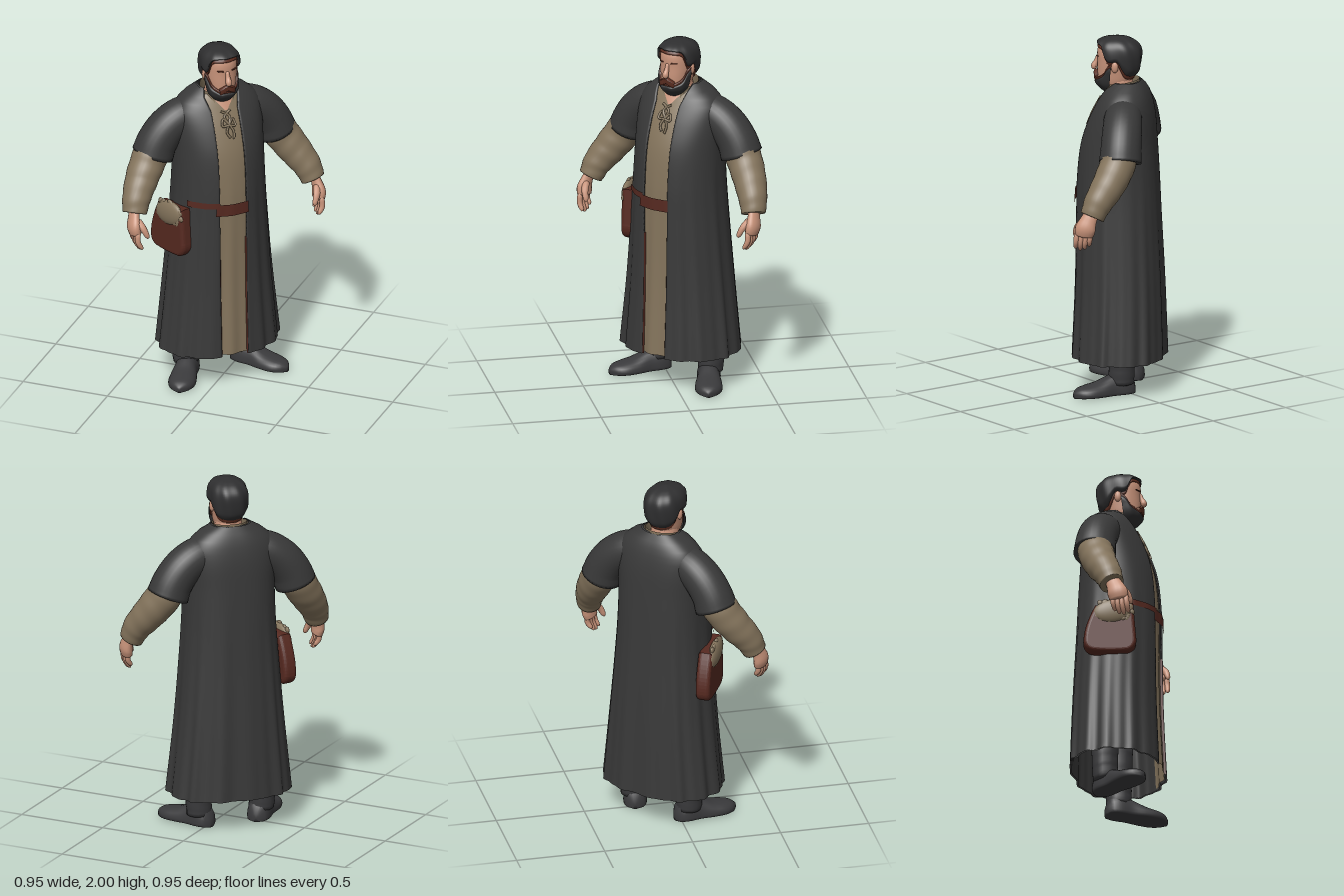
import * as THREE from 'three';

const mat = (name, color, side = THREE.DoubleSide) => Object.assign(new THREE.MeshStandardMaterial({ color, side }), { name });
const V = (x, y, z) => new THREE.Vector3(x, y, z);
const TAU = Math.PI * 2;

// Smooth (Hermite) lookup in rows of [key, v1, v2, ...]
function sample(rows, k) {
  const n = rows.length - 1;
  let i = 0;
  while (i < n - 1 && k > rows[i + 1][0]) i++;
  const a = rows[i], b = rows[i + 1], p = rows[Math.max(0, i - 1)], q = rows[Math.min(n, i + 2)];
  const h = b[0] - a[0], t = Math.min(1, Math.max(0, (k - a[0]) / h));
  return a.slice(1).map((_, c) => {
    c++;
    const m0 = (b[c] - p[c]) / (b[0] - p[0]) * h, m1 = (q[c] - a[c]) / (q[0] - a[0]) * h;
    const t2 = t * t, t3 = t2 * t;
    return (2 * t3 - 3 * t2 + 1) * a[c] + (t3 - 2 * t2 + t) * m0 + (3 * t2 - 2 * t3) * b[c] + (t3 - t2) * m1;
  });
}

// Skin a list of equal-length rings
function loft(rings, closed = true, capped = false) {
  const n = rings[0].length, pos = [], idx = [];
  rings.forEach(r => r.forEach(p => pos.push(p.x, p.y, p.z)));
  for (let i = 0; i < rings.length - 1; i++)
    for (let j = 0; j < (closed ? n : n - 1); j++) {
      const a = i * n + j, b = i * n + (j + 1) % n;
      idx.push(a, b, b + n, a, b + n, a + n);
    }
  if (capped) [0, rings.length - 1].forEach(i => {
    const c = rings[i].reduce((s, p) => s.add(p), V(0, 0, 0)).divideScalar(n), k = pos.length / 3;
    pos.push(c.x, c.y, c.z);
    for (let j = 0; j < n; j++) {
      const a = i * n + j, b = i * n + (j + 1) % n;
      i ? idx.push(a, b, k) : idx.push(b, a, k);
    }
  });
  const g = new THREE.BufferGeometry();
  g.setAttribute('position', new THREE.Float32BufferAttribute(pos, 3));
  g.setIndex(idx);
  g.computeVertexNormals();
  return g;
}

// Tapered tube through [x, y, z, radius]; flat squeezes it sideways, wrinkle adds cloth rings
function limb(pts, { seg = 16, sides = 16, flat = 1, wrinkle = 0, round = true } = {}) {
  const curve = new THREE.CatmullRomCurve3(pts.map(p => V(p[0], p[1], p[2])));
  const radii = pts.map((p, i) => [i / (pts.length - 1), p[3]]);
  const rings = [];
  for (let i = 0; i <= seg; i++) {
    const t = i / seg, c = curve.getPoint(t), d = curve.getTangent(t);
    const q = V(0, 0, 1).addScaledVector(d, -d.z).normalize(), p = q.clone().cross(d);
    const end = round && (i === 0 || i === seg) ? 0.55 : 1;
    rings.push(Array.from({ length: sides }, (_, j) => {
      const a = j / sides * TAU;
      const r = sample(radii, t)[0] * end * (1 + wrinkle * Math.sin(t * 34 + 1.5 * Math.cos(a)));
      return c.clone().addScaledVector(p, r * flat * Math.cos(a)).addScaledVector(q, r * Math.sin(a));
    }));
  }
  return loft(rings, true, true);
}

// Torso profile: [y, half width, back z, front z]
const TORSO = [[0.19, 0.345, -0.338, 0.185], [0.6, 0.304, -0.325, 0.168], [1, 0.272, -0.306, 0.162], [1.2, 0.26, -0.297, 0.158],
  [1.4, 0.255, -0.285, 0.135], [1.55, 0.258, -0.272, 0.085], [1.65, 0.242, -0.25, 0.035], [1.71, 0.182, -0.225, 0.003], [1.75, 0.112, -0.195, -0.02]];
const spow = (v, e) => Math.sign(v) * Math.abs(v) ** e;
function torso(th, y, inset = 0) {
  const [a, back, front] = sample(TORSO, y);
  const amp = 0.024 * Math.max(0, 1 - y / 1.35);
  const f = 1 + amp * (Math.cos(13 * th + 1) + 0.7 * Math.cos(21 * th + 2));
  const c = (back + front) / 2, b = (front - back) / 2, e = Math.cos(th) > 0 ? 1 : 0.8;
  return V((a - inset) * f * spow(Math.sin(th), e), y, c + (b - inset) * f * spow(Math.cos(th), e));
}
// Robe opening, widening into the neckline
const edgeAngle = (x, y) => Math.asin(Math.min(0.88, (x + 0.3 * Math.max(0, y - 1.64)) / sample(TORSO, y)[0]));
const leftEdge = y => edgeAngle(0.07, y), rightEdge = y => -edgeAngle(0.09, y);
const torsoBand = (t0, t1, y0, y1, inset, n = 24, rows = 4) => loft(Array.from({ length: rows + 1 }, (_, i) =>
  Array.from({ length: n + 1 }, (_, j) => torso(t0 + (t1 - t0) * j / n, y0 + (y1 - y0) * i / rows, inset))), false);

// Head profile: [y, half width, back z, front z]
const HEAD = [[1.69, 0.045, -0.1, 0.008], [1.735, 0.072, -0.14, 0.038], [1.8, 0.083, -0.165, 0.045], [1.86, 0.089, -0.176, 0.044],
  [1.92, 0.088, -0.176, 0.044], [1.955, 0.076, -0.156, 0.03], [1.977, 0.048, -0.12, -0.005], [1.988, 0, -0.065, -0.065]];
function headPatch(t0, t1, bottom, top, off, taperTop = true, n = 48, m = 22) {
  return loft(Array.from({ length: m + 1 }, (_, i) => Array.from({ length: n + 1 }, (_, j) => {
    const u = i / m, th = t0 + (t1 - t0) * j / n, y = THREE.MathUtils.lerp(bottom(th), top(th), u);
    const [a, back, front] = sample(HEAD, y), c = (back + front) / 2, b = (front - back) / 2;
    const o = off * Math.sqrt(Math.min(1, 6 * (taperTop ? Math.min(u, 1 - u) : u))) * (1 + 0.12 * Math.cos(9 * th + y * 20));
    const k = 1 + o / 0.09, lift = off * Math.max(0, (y - 1.85) / 0.14) ** 2 * 0.7;
    return V(a * k * spow(Math.sin(th), 0.9), y + lift, c + b * k * spow(Math.cos(th), 0.9));
  })), false);
}

export function createModel() {
  const robeM = mat('charcoal cloth', 0x393939), tunicM = mat('tan cloth', 0x84745c), skinM = mat('skin', 0xc8937a),
    hairM = mat('dark hair', 0x2f2f30), brownHairM = mat('brown hair', 0x5a2d20), leatherM = mat('red leather', 0x562920),
    bootM = mat('boot leather', 0x3a3a3c);
  const model = new THREE.Group(), body = new THREE.Group();
  body.name = 'body';
  body.rotation.y = Math.PI / 4;
  model.add(body);
  const add = (name, geo, m, parent = body) => {
    const mesh = new THREE.Mesh(geo, m);
    mesh.name = name;
    parent.add(mesh);
    return mesh;
  };

  // Open robe: outer layer round the back, returning along the lining
  const N = 130, robeRings = [], tunicRings = [], facing = [[], []];
  for (let i = 0; i <= 44; i++) {
    const y = 0.19 + 1.56 * i / 44, t0 = leftEdge(y), t1 = TAU + rightEdge(y);
    const line = inset => Array.from({ length: N + 1 }, (_, j) => torso(t0 + (t1 - t0) * j / N, y, inset));
    robeRings.push([...line(0), ...line(0.01).reverse()]);
    const w = 0.9 + 2 * Math.max(0, y - 1.45);
    if (y < 1.72) tunicRings.push(Array.from({ length: 41 }, (_, j) => torso((j / 20 - 1) * w, y + 0.01, 0.016)));
    if (y < 0.9) [t0 - 0.006, t1 + 0.006].forEach((t, k) => facing[k].push([0.002, 0.016].map(inset => torso(t, y, inset))));
  }
  add('robe', loft(robeRings), robeM);
  add('tunic', loft(tunicRings, false), tunicM);
  facing.forEach(f => add('robeFacing', loft(f, false), leatherM));

  // Neck opening, collar and lacing
  add('neck', limb([[0, 1.6, -0.09, 0.08], [0, 1.7, -0.082, 0.08], [0, 1.76, -0.075, 0.074], [0, 1.82, -0.065, 0.062]]), skinM);
  add('openNeckline', loft([[1.64, 0.03], [1.68, 0.2], [1.725, 0.55]].map(([y, w]) =>
    Array.from({ length: 9 }, (_, j) => torso(-w + j * w / 4, y, 0.012))), false), skinM);
  add('collar', loft([[1.67, 0.11], [1.715, 0.1], [1.748, 0.1]].map(([y, r]) => Array.from({ length: 37 }, (_, j) => {
    const t = 0.55 + (TAU - 1.1) * j / 36;
    return V(r * Math.sin(t), y - 0.014 * Math.cos(t), -0.09 + r * Math.cos(t));
  })), false), tunicM);
  const lace = pts => new THREE.TubeGeometry(new THREE.CatmullRomCurve3(pts.map(([x, y]) =>
    V(x - 0.01, y, sample(TORSO, y)[2] - 0.008))), 20, 0.007, 6);
  [[[0.01, 1.57], [0.035, 1.595], [0.045, 1.56], [0.01, 1.565]], [[0.01, 1.57], [-0.02, 1.6], [-0.03, 1.565], [0.01, 1.565]],
    [[0.01, 1.57], [0.03, 1.53], [0.025, 1.49]], [[0.01, 1.57], [-0.01, 1.53], [0.005, 1.5]],
    [[-0.025, 1.64], [0.02, 1.61], [0.01, 1.57]], [[0.03, 1.64], [-0.01, 1.61], [0.01, 1.57]]]
    .forEach(p => add('lace', lace(p), tunicM));

  // Belt across the tunic and the strap that carries the pouch
  add('belt', torsoBand(rightEdge(1.1) - 0.08, leftEdge(1.1) + 0.02, 1.055, 1.125, -0.008), leatherM);
  add('beltStrap', torsoBand(-1.1, rightEdge(1.1), 1.1, 1.135, -0.007), leatherM);

  // Arms, hands and boots on both sides
  for (const s of [1, -1]) {
    const L = pts => pts.map(([x, y, z, r]) => [s * x, y, z, r]);
    add('robeSleeve', limb(L([[0.1, 1.605, -0.12, 0.09], [0.2, 1.578, -0.128, 0.105], [0.285, 1.52, -0.135, 0.11], [0.345, 1.44, -0.138, 0.113], [0.372, 1.37, -0.138, 0.118]]),
      { sides: 28, round: false }), robeM);
    add('tunicSleeve', limb(L([[0.34, 1.46, -0.138, 0.098], [0.395, 1.36, -0.125, 0.1], [0.46, 1.26, -0.085, 0.093], [0.515, 1.17, -0.035, 0.08], [0.54, 1.095, -0.005, 0.067]]),
      { seg: 44, sides: 28, wrinkle: 0.012, round: false }), tunicM);
    const hand = new THREE.Group();
    hand.name = 'hand';
    body.add(hand);
    add('palm', limb(L([[0.54, 1.13, -0.01, 0.038], [0.553, 1.08, 0.012, 0.046], [0.56, 1.03, 0.03, 0.057], [0.553, 0.985, 0.038, 0.05]]), { flat: 0.6 }), skinM, hand);
    for (let f = 0; f < 4; f++) {
      const z = 0.001 + f * 0.025, len = [0.07, 0.09, 0.096, 0.086][f];
      add('finger', limb(L([[0.555, 1.015, z, 0.0155], [0.557, 1 - len * 0.5, z + 0.006, 0.0155], [0.533, 1 - len, z + 0.012, 0.011]]), { seg: 8, sides: 10 }), skinM, hand);
    }
    add('thumb', limb(L([[0.545, 1.07, 0.035, 0.023], [0.525, 1.035, 0.078, 0.019], [0.503, 0.98, 0.098, 0.013]]), { seg: 10, sides: 10 }), skinM, hand);

    add('bootShaft', limb(L([[0.185, 0.45, -0.11, 0.075], [0.187, 0.2, -0.118, 0.074], [0.18, 0.05, -0.115, 0.07]]), { wrinkle: 0.02 }), bootM);
    const d = V(s * 0.55, 0, 0.835), p = V(0, 1, 0).cross(d);
    const rows = [[-0.08, 0.02, 0.05], [-0.07, 0.046, 0.09], [-0.02, 0.065, 0.13], [0.06, 0.064, 0.115], [0.14, 0.075, 0.082],
      [0.21, 0.074, 0.066], [0.26, 0.05, 0.054], [0.285, 0.015, 0.035]];
    add('shoe', loft(Array.from({ length: 25 }, (_, i) => {
      const t = -0.08 + 0.365 * i / 24, [w, h] = sample(rows, t);
      return Array.from({ length: 24 }, (_, j) => {
        const a = j / 24 * TAU, up = Math.sin(a);
        return V(s * 0.172, 0.022, -0.112).addScaledVector(d, t).addScaledVector(p, w * spow(Math.cos(a), 0.8))
          .add(V(0, up > 0 ? (h - 0.022) * up : 0.022 * spow(up, 0.4), 0));
      });
    }), true, true), bootM);
  }

  // Head, hair and beard
  const head = new THREE.Group();
  head.name = 'head';
  body.add(head);
  const wrap = t => Math.abs(t > Math.PI ? t - TAU : t);
  const hairline = t => sample([[0, 1.95], [0.6, 1.948], [0.95, 1.933], [1.2, 1.87], [1.4, 1.86], [1.65, 1.865], [1.9, 1.82], [2.2, 1.785], [3.2, 1.77]], wrap(t))[0];
  const beardTop = t => sample([[0, 1.758], [0.35, 1.758], [0.7, 1.768], [1.05, 1.79], [1.25, 1.83], [1.45, 1.85]], wrap(t))[0];
  add('face', headPatch(0, TAU, () => 1.69, () => 1.988, 0, false), skinM, head);
  add('hair', headPatch(0, TAU, hairline, () => 1.988, 0.02, false, 72), hairM, head);
  add('hairFringe', headPatch(0, TAU, t => hairline(t) - 0.014, t => hairline(t) + 0.02, 0.006, true, 72, 8), brownHairM, head);
  add('beard', headPatch(-1.45, 1.45, () => 1.685, beardTop, 0.018), hairM, head);
  add('beardEdge', headPatch(-1.45, 1.45, t => beardTop(t) - 0.025, t => beardTop(t) + 0.012, 0.01), brownHairM, head);
  add('moustache', headPatch(-0.5, 0.5, t => 1.765 - 0.05 * Math.abs(t), t => 1.808 - 0.05 * Math.abs(t), 0.016), brownHairM, head);
  add('nose', limb([[0, 1.885, 0.041, 0.01], [0, 1.85, 0.052, 0.013], [0, 1.822, 0.063, 0.018], [0, 1.808, 0.055, 0.012]]), skinM, head);
  for (const s of [1, -1]) {
    add('ear', new THREE.SphereGeometry(1, 14, 10).scale(0.014, 0.032, 0.02).translate(s * 0.091, 1.84, -0.065), skinM, head);
    add('eyebrow', headPatch(s * 0.42 - 0.2, s * 0.42 + 0.2, () => 1.886, () => 1.892, 0.005, true, 10, 6), brownHairM, head);
  }

  // Pouch with a fleece spilling over its front
  const pouch = new THREE.Group();
  pouch.name = 'pouch';
  pouch.position.set(-0.25, 0.785, 0.152);
  pouch.rotation.y = -0.52;
  model.add(pouch);
  const shape = new THREE.Shape();
  shape.moveTo(-0.09, 0.025);
  shape.quadraticCurveTo(0, 0.018, 0.09, 0.03);
  shape.quadraticCurveTo(0.13, 0.045, 0.122, 0.1);
  shape.lineTo(0.108, 0.28);
  shape.lineTo(-0.07, 0.265);
  shape.quadraticCurveTo(-0.13, 0.14, -0.125, 0.06);
  shape.quadraticCurveTo(-0.12, 0.03, -0.09, 0.025);
  add('pouchBag', new THREE.ExtrudeGeometry(shape, { depth: 0.034, bevelSize: 0.022, bevelThickness: 0.024, bevelSegments: 5, curveSegments: 10 })
    .translate(0, 0, -0.015), leatherM, pouch);
  add('fleece', new THREE.SphereGeometry(1, 24, 16).scale(0.112, 0.072, 0.03).rotateZ(0.2).translate(0.015, 0.25, 0.032), tunicM, pouch);
  let seed = 7;
  const rnd = () => (seed = seed * 16807 % 2147483647) / 2147483647;
  for (let i = 0; i < 44; i++) {
    const a = rnd() * TAU, r = Math.sqrt(rnd());
    add('fleeceTuft', new THREE.IcosahedronGeometry(0.018, 1).scale(1, 1.2, 0.6).rotateZ(rnd() * 3)
      .translate(0.015 + 0.105 * r * Math.cos(a), 0.25 + 0.068 * r * Math.sin(a), 0.052 - 0.018 * r), tunicM, pouch);
  }
  return model;
}
